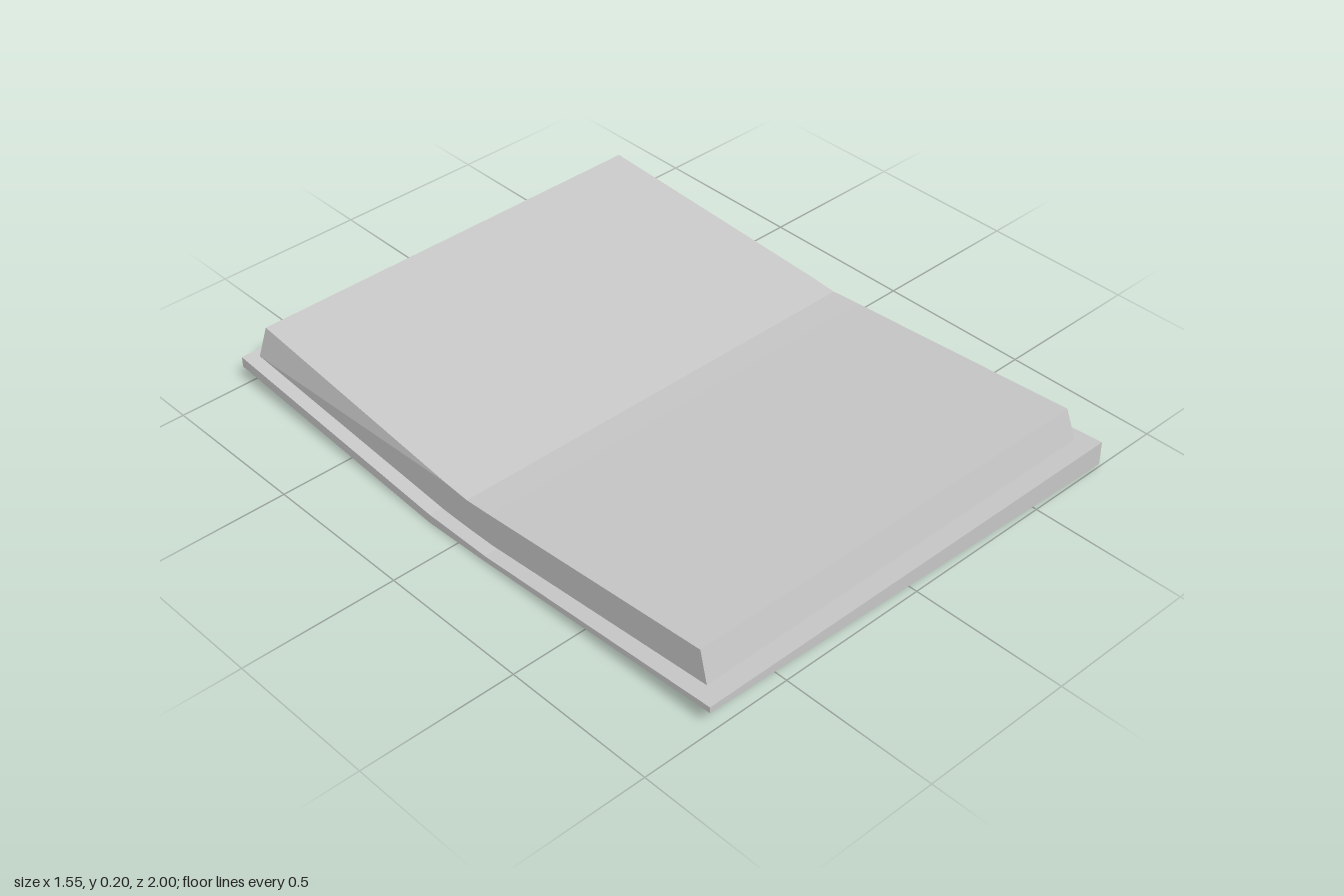
import * as THREE from 'three';

const material = new THREE.MeshStandardMaterial({ color: 0xcccccc, flatShading: true });

// Joins four-cornered sections, listed front to back, into a closed solid.
// Corner order: right bottom (-x), left bottom (+x), left top, right top.
function loft(name, sections) {
  const index = [];
  const quad = (a, b, c, d) => index.push(a, b, c, a, c, d);
  const last = (sections.length - 1) * 4;
  for (let i = 0; i < last; i += 4) {
    for (let j = 0; j < 4; j++) {
      const k = (j + 1) % 4;
      quad(i + j, i + 4 + j, i + 4 + k, i + k);
    }
  }
  quad(0, 1, 2, 3);
  quad(last + 3, last + 2, last + 1, last);

  const indexed = new THREE.BufferGeometry();
  indexed.setAttribute('position', new THREE.Float32BufferAttribute(sections.flat(2), 3));
  indexed.setIndex(index);
  const geometry = indexed.toNonIndexed();
  geometry.computeVertexNormals();
  const mesh = new THREE.Mesh(geometry, material);
  mesh.name = name;
  return mesh;
}

export function createModel() {
  const group = new THREE.Group();
  group.name = 'openBook';

  // Cover: [z, top y, bottom y at -x, bottom y at +x], one front corner thicker
  const cover = [
    [1, 0.09, 0.07, 0.01],
    [0.12, 0.03, 0.01, 0.01],
    [-0.12, 0.03, 0, 0.006],
    [-1, 0.1, 0.066, 0.077],
  ].map(([z, top, low, high]) => [
    [-0.777, low, z], [0.777, high, z], [0.777, top, z], [-0.777, top, z],
  ]);
  group.add(loft('cover', cover));

  // Page block: [bottom z, bottom y, top z, top y, top right x, top left x]
  const pages = [
    [0.945, 0.1, 0.92, 0.205, -0.735, 0.702],
    [0.1, 0.032, 0.1, 0.138, -0.735, 0.72],
    [0, 0.031, 0, 0.131, -0.735, 0.72],
    [-0.1, 0.032, -0.09, 0.138, -0.735, 0.72],
    [-0.968, 0.1, -0.948, 0.205, -0.715, 0.695],
  ].map(([zb, yb, zt, yt, right, left]) => [
    [-0.735, yb, zb], [0.72, yb, zb], [left, yt, zt], [right, yt, zt],
  ]);
  group.add(loft('pages', pages));

  return group;
}
